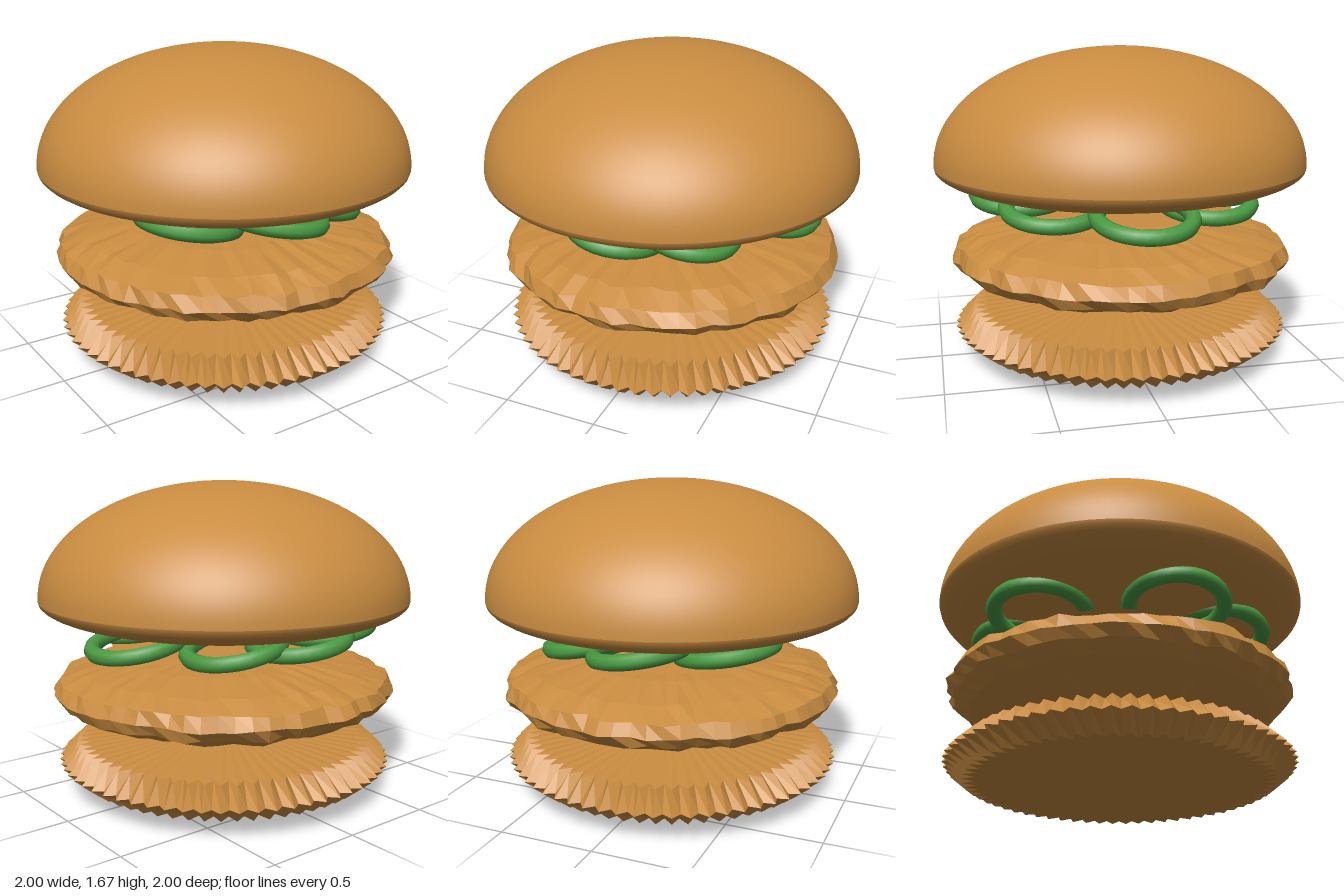
import * as THREE from 'three';

const v2 = ([r, y]) => new THREE.Vector2(r, y);

// Lathe whose rings are reshaped by rule(segment, ring) => [radius scale, y offset]
function reshapedLathe(profile, segments, rule) {
  const geo = new THREE.LatheGeometry(profile.map(v2), segments);
  const pos = geo.attributes.position;
  const n = profile.length;
  for (let k = 0; k < pos.count; k++) {
    const seg = Math.floor(k / n) % segments;
    const [s, dy] = rule(seg, k % n);
    pos.setXYZ(k, pos.getX(k) * s, pos.getY(k) + dy, pos.getZ(k) * s);
  }
  geo.computeVertexNormals();
  return geo;
}

// Repeatable noise in -1..1
function noise(a, b) {
  const s = Math.sin(a * 127.1 + b * 311.7) * 43758.5453;
  return (s - Math.floor(s)) * 2 - 1;
}

// Quarter ellipse from angle a to b, around the height of the bun rim
function arc(a, b, height, steps) {
  const pts = [];
  for (let i = 0; i <= steps; i++) {
    const t = a + ((b - a) * i) / steps;
    pts.push(new THREE.Vector2(Math.max(0, Math.cos(t)), 1.05 + height * Math.sin(t)));
  }
  return pts;
}

export function createModel() {
  const group = new THREE.Group();
  const bread = new THREE.MeshStandardMaterial({ color: 0xc98c41 });
  bread.name = 'toasted brown';
  const crust = new THREE.MeshStandardMaterial({ color: 0xc98c41, flatShading: true });
  crust.name = 'faceted toasted brown';
  const green = new THREE.MeshStandardMaterial({ color: 0x4a9a43 });
  green.name = 'pepper green';

  const add = (name, geo, mat) => {
    const mesh = new THREE.Mesh(geo, mat);
    mesh.name = name;
    group.add(mesh);
    return mesh;
  };

  // Bottom bun with a pleated rim
  const pleat = [1, 0.92, 0.95, 0.92, 1];
  add('bottomBun', reshapedLathe(
    [[0, 0], [0.81, 0.08], [0.915, 0.165], [0.81, 0.265], [0, 0.325]], 128,
    (seg, ring) => [seg % 2 ? pleat[ring] : 1, 0]), crust);

  // Crinkled patty
  const rough = [0, 0.02, 0.025, 0.025, 0.02, 0.025, 0.025, 0.02, 0];
  add('patty', reshapedLathe(
    [[0, 0.37], [0.52, 0.405], [0.79, 0.46], [0.88, 0.505], [0.92, 0.56],
      [0.885, 0.625], [0.76, 0.675], [0.52, 0.715], [0, 0.75]], 72,
    (seg, ring) => [
      1 + rough[ring] * (noise(Math.floor(seg / 2), 1) * 0.6 + noise(seg, ring) * 0.7),
      rough[ring] * 0.35 * noise(seg, ring + 20)]), crust);

  // Thin slice on the patty
  add('thinSlice', new THREE.LatheGeometry(
    [[0, 0.77], [0.5, 0.776], [0.62, 0.787], [0.5, 0.8], [0, 0.812]].map(v2), 20), crust);

  // Overlapping pepper rings, each dipping toward the left side
  const rings = new THREE.Group();
  rings.name = 'pepperRings';
  group.add(rings);
  const ringGeo = new THREE.TorusGeometry(0.24, 0.042, 8, 32).rotateX(Math.PI / 2);
  const spots = [[0.56, 0], [0.26, 0.41], [-0.06, 0.54], [-0.44, 0.35]];
  for (const [x, z] of spots) {
    for (const side of z ? [1, -1] : [1]) {
      const ring = new THREE.Mesh(ringGeo, green);
      ring.name = 'pepperRing';
      ring.position.set(x, 0.868 + (x < 0 ? 0.012 : 0), z * side);
      ring.rotation.z = x < 0 ? -0.16 : -0.2;
      rings.add(ring);
    }
  }

  // Top bun: tall dome and shallow underside meeting at a sharp rim
  add('topBunDome', new THREE.LatheGeometry(arc(0, Math.PI / 2, 0.62, 24), 72), bread);
  add('topBunUnderside', new THREE.LatheGeometry(arc(-Math.PI / 2, 0, 0.18, 14), 72), bread);

  return group;
}
